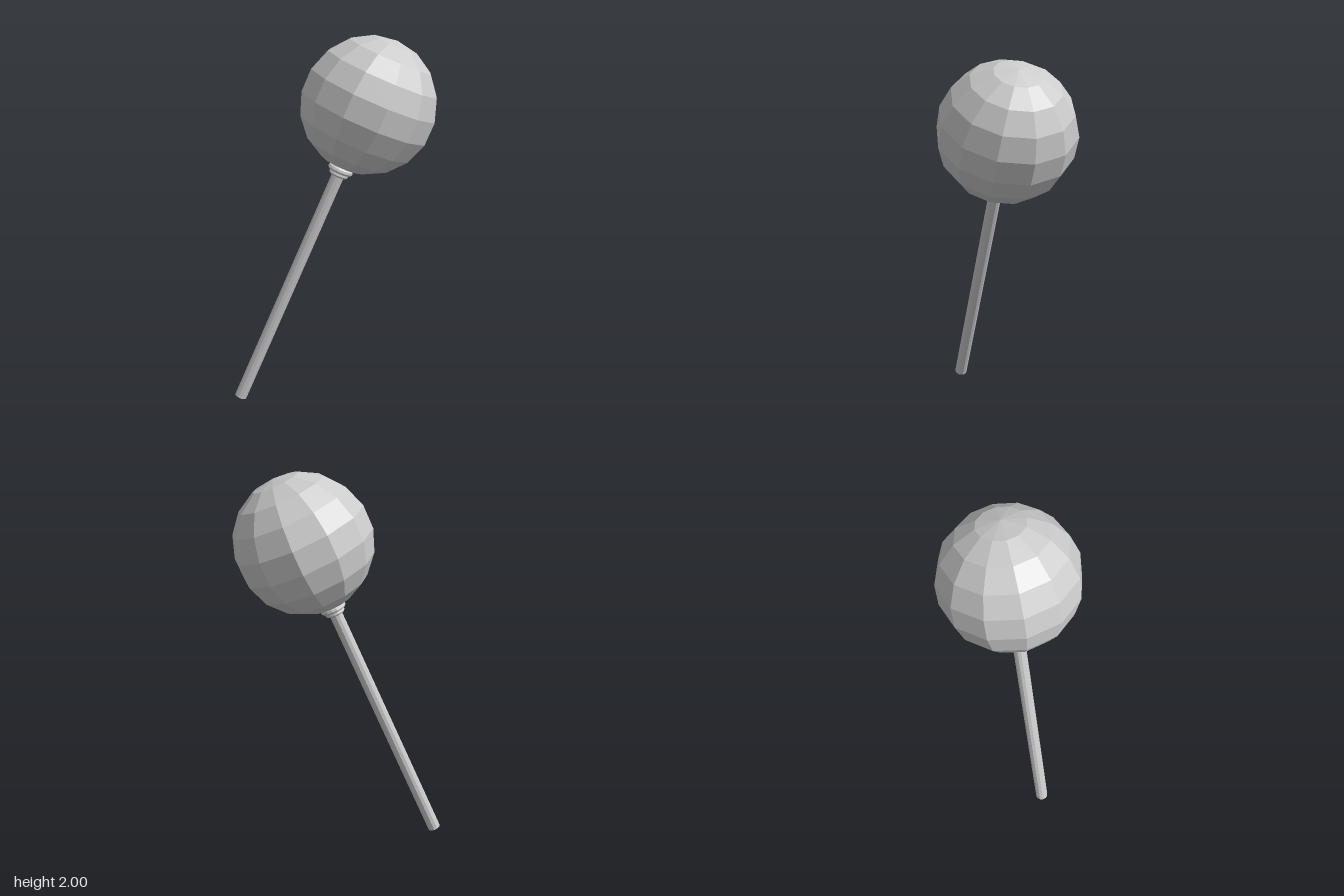
import * as THREE from 'three';

const material = new THREE.MeshStandardMaterial({ color: 0xcccccc, flatShading: true });

function addPart(parent, name, geometry, y = 0) {
  const mesh = new THREE.Mesh(geometry, material);
  mesh.name = name;
  mesh.position.y = y;
  parent.add(mesh);
  return mesh;
}

export function createModel() {
  const model = new THREE.Group();
  model.name = 'lollipop';

  // Everything shares one leaning axis through the centre of the ball.
  const lean = new THREE.Group();
  lean.name = 'leaningLollipop';
  lean.position.set(0.18, 1.64, 0);
  lean.rotation.order = 'YXZ';
  lean.rotation.y = THREE.MathUtils.degToRad(-17.2);
  lean.rotation.z = THREE.MathUtils.degToRad(-23.6);
  model.add(lean);

  // Faceted candy ball, its poles on the axis
  addPart(lean, 'candyBall', new THREE.SphereGeometry(0.358, 12, 9));

  // Straight stick, its top hidden inside the ball
  const top = -0.3, bottom = -1.774;
  addPart(lean, 'stick',
    new THREE.CylinderGeometry(0.034, 0.034, top - bottom, 12), (top + bottom) / 2);

  // Stepped collar where the stick enters the ball
  const profile = [
    [0.033, -0.405], [0.046, -0.403], [0.053, -0.394], [0.050, -0.382],
    [0.062, -0.380], [0.069, -0.370], [0.066, -0.358], [0.050, -0.345],
  ].map(([r, y]) => new THREE.Vector2(r, y));
  addPart(lean, 'collar', new THREE.LatheGeometry(profile, 16));

  return model;
}
